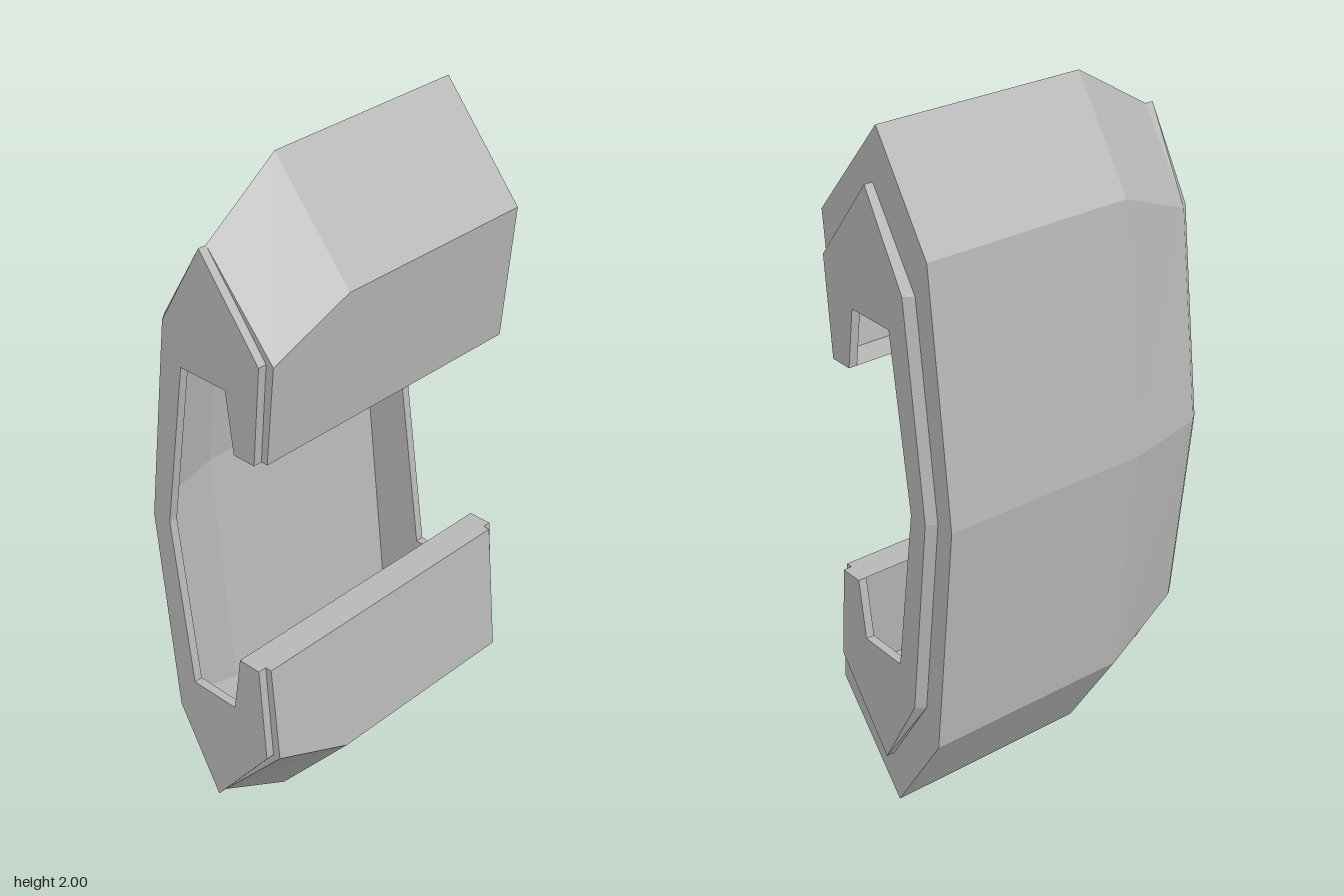
import * as THREE from 'three';

const gray = new THREE.MeshStandardMaterial({ color: 0xb8b8b8, side: THREE.DoubleSide });
gray.name = 'plain gray';

// Mirror an upper half profile of [z, y] points about y = 1 (first and/or last point may lie on the mirror line)
const mirrorPoint = ([z, y]) => [z, 2 - y];

// Open shell outline: upper lip round the back to the lower lip
function shellOutline(knee, tip, backKnee, backMid) {
  const half = [[0.13, 1.32], [0.22, 1.32], knee, tip, backKnee];
  return [...half, [backMid, 1], ...half.map(mirrorPoint).reverse()];
}

// Closed C outline: the inner opening joined to an outer outline
function closedOutline(outer) {
  const hook = [[-0.05, 1.495], [0.105, 1.495]];
  return [[-0.12, 1], ...hook, ...outer, ...hook.map(mirrorPoint).reverse()];
}

// Flat-faced skin through matching outlines at increasing x
function loft(sections, closed) {
  const pos = [];
  for (let s = 0; s < sections.length - 1; s++) {
    const [a, b] = [sections[s], sections[s + 1]];
    const n = a.points.length;
    for (let i = 0; i < (closed ? n : n - 1); i++) {
      const j = (i + 1) % n;
      const at = (sec, k) => [sec.x, sec.points[k][1], sec.points[k][0]];
      pos.push(...at(a, i), ...at(b, i), ...at(b, j), ...at(a, i), ...at(b, j), ...at(a, j));
    }
  }
  const geo = new THREE.BufferGeometry();
  geo.setAttribute('position', new THREE.Float32BufferAttribute(pos, 3));
  geo.computeVertexNormals();
  return geo;
}

// Flat face filling an outline at a given x
function endFace(points, x, facing) {
  const geo = new THREE.ShapeGeometry(new THREE.Shape(points.map(([z, y]) => new THREE.Vector2(z, y))));
  const p = geo.attributes.position;
  for (let i = 0; i < p.count; i++) p.setXYZ(i, x, p.getY(i), p.getX(i));
  if (facing > 0) geo.index.array.reverse();
  geo.computeVertexNormals();
  return geo;
}

export function createModel() {
  const model = new THREE.Group();
  model.name = 'curvedBracket';
  const add = (parent, name, geo) => {
    const mesh = new THREE.Mesh(geo, gray);
    mesh.name = name;
    parent.add(mesh);
  };

  // Thin outer shell with folded lips, tapering toward -x
  const full = shellOutline([0.257, 1.71], [0.01, 2], [-0.18, 1.71], -0.257);
  const tapered = shellOutline([0.247, 1.605], [0.03, 1.85], [-0.13, 1.605], -0.2);
  add(model, 'outerShell', loft([
    { x: -0.44, points: tapered },
    { x: -0.19, points: full },
    { x: 0.44, points: full },
  ], false));

  // Raised end plates with a chamfered back edge
  const plate = (backKnee, backMid) => {
    const half = [[0.13, 1.32], [0.2, 1.32], [0.223, 1.605], [0.03, 1.85], [backKnee, 1.605]];
    return closedOutline([...half, [backMid, 1], ...half.map(mirrorPoint).reverse()]);
  };
  const base = plate(-0.13, -0.2);
  const rim = plate(-0.11, -0.18);
  for (const side of [-1, 1]) {
    const end = new THREE.Group();
    end.name = side > 0 ? 'leftEnd' : 'rightEnd';
    const sections = [{ x: side * 0.44, points: base }, { x: side * 0.465, points: rim }];
    if (side < 0) sections.reverse();
    add(end, 'plateEdge', loft(sections, true));
    add(end, 'plateFace', endFace(rim, side * 0.465, side));
    // Wall closing the shell behind the plate
    add(end, 'endWall', endFace(closedOutline(side > 0 ? full : tapered), side * 0.44, side));
    model.add(end);
  }
  return model;
}
